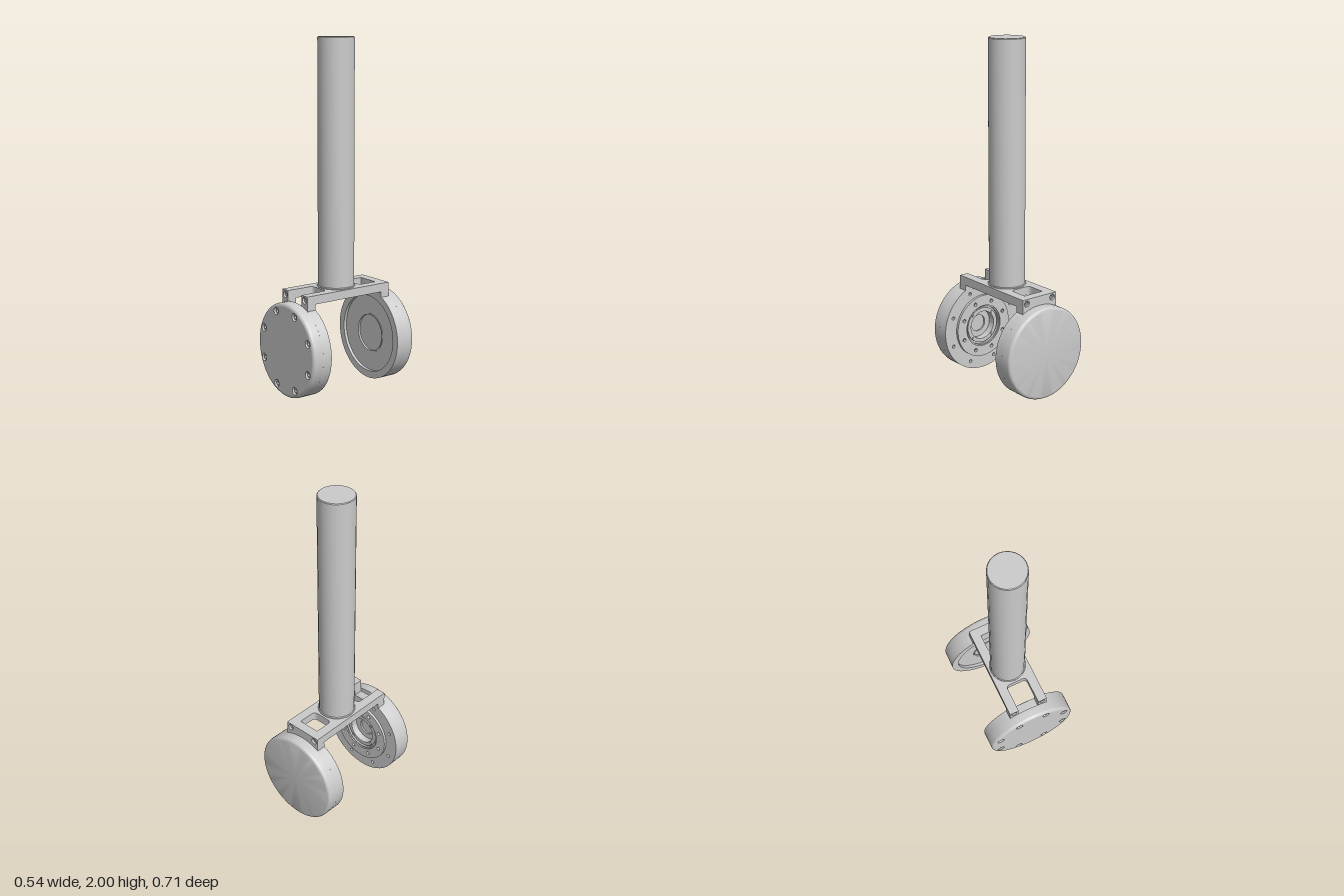
import * as THREE from 'three';
import { toCreasedNormals } from 'three/addons/utils/BufferGeometryUtils.js';

const material = new THREE.MeshStandardMaterial({ color: 0xcccccc });
const inside = new THREE.MeshStandardMaterial({ color: 0xcccccc, side: THREE.DoubleSide });

const R = 0.27;        // wheel radius
const CUT = 0.24;      // height of the flat cut above the wheel axis
const BOLT_R = 0.229;  // bolt circle radius

function add(parent, name, geometry, mat = material) {
  const mesh = new THREE.Mesh(geometry, mat);
  mesh.name = name;
  parent.add(mesh);
  return mesh;
}

// Solid of revolution about z; profile points are [radius, z]
function turned(points, segments = 56) {
  const g = new THREE.LatheGeometry(points.map(p => new THREE.Vector2(...p)), segments);
  return toCreasedNormals(g.rotateX(Math.PI / 2), 0.6);
}

// Flat shape extruded along z from z0 to z1
function plate(shape, z0, z1) {
  const g = new THREE.ExtrudeGeometry(shape, { depth: z1 - z0, bevelEnabled: false, curveSegments: 28 });
  return toCreasedNormals(g.translate(0, 0, z0), 0.6);
}

function circle(shape, r, x = 0, y = 0) {
  return shape.absarc(x, y, r, 0, Math.PI * 2, false);
}

function hole(shape, r, x = 0, y = 0) {
  shape.holes.push(circle(new THREE.Path(), r, x, y));
}

function ringPositions(count, radius) {
  return Array.from({ length: count }, (_, i) => {
    const a = (i + 0.5) * Math.PI * 2 / count;
    return [radius * Math.cos(a), radius * Math.sin(a)];
  });
}

// Recessed socket-head bolt facing +z: head, rim and socket in one profile
function bolt(parent, name, x, y, zFace, r) {
  const z = zFace - 0.006, floor = zFace - 0.016;
  const g = turned([
    [r * 0.72, floor - 0.006], [r * 0.72, z], [r * 0.4, z], [r * 0.4, floor], [0, floor],
  ], 16);
  add(parent, name, g).position.set(x, y, 0);
}

// Inner part of a wheel: a disc with a flat cut on top for the bracket
function cutDisc(recess, bolts) {
  const s = new THREE.Shape();
  const a = Math.asin(CUT / R);
  s.absarc(0, 0, R, Math.PI - a, Math.PI * 2 + a, false);
  s.closePath();
  hole(s, recess);
  if (bolts) ringPositions(8, BOLT_R).forEach(([x, y]) => hole(s, 0.01, x, y));
  return plate(s, 0.235, 0.291);
}

// Outer shell with a rounded edge; the face is left open if it is drilled
function shellProfile(closed) {
  const pts = [[0, 0.29], [R, 0.29]];
  for (let i = 0; i <= 5; i++) {
    const t = i / 5 * Math.PI / 2;
    pts.push([R - 0.018 + 0.018 * Math.cos(t), 0.337 + 0.018 * Math.sin(t)]);
  }
  if (closed) pts.push([0, 0.355]);
  return pts;
}

function frontWheel() {
  const wheel = new THREE.Group();
  wheel.name = 'frontWheel';
  add(wheel, 'wheelShell', turned(shellProfile(false)));
  add(wheel, 'wheelInnerDisc', cutDisc(0.17, true));

  // Drilled face with eight sunk bolts
  const face = circle(new THREE.Shape(), R - 0.018);
  ringPositions(8, BOLT_R).forEach(([x, y]) => {
    hole(face, 0.022, x, y);
    bolt(wheel, 'faceBolt', x, y, 0.353, 0.022);
  });
  add(wheel, 'wheelFace', plate(face, 0.335, 0.355));
  add(wheel, 'boltSeat', new THREE.RingGeometry(0.2, 0.252, 56).translate(0, 0, 0.336));

  // Hub flange with its ring of small holes
  const flange = circle(new THREE.Shape(), 0.19);
  hole(flange, 0.125);
  ringPositions(8, 0.155).forEach(([x, y]) => hole(flange, 0.011, x, y));
  add(wheel, 'hubFlange', plate(flange, 0.22, 0.24));

  // Stepped hub with an open bore
  add(wheel, 'hub', turned([
    [0, 0.285], [0.05, 0.285], [0.05, 0.275], [0.085, 0.275], [0.085, 0.232],
    [0.108, 0.232], [0.108, 0.242], [0.118, 0.242], [0.118, 0.228], [0.127, 0.228],
    [0.127, 0.25], [0.172, 0.25],
  ]), inside);
  // Small screws around the bore
  ringPositions(4, 0.097).forEach(([x, y]) => {
    const g = new THREE.CylinderGeometry(0.008, 0.008, 0.01, 12).rotateX(Math.PI / 2);
    add(wheel, 'hubScrew', g).position.set(x, y, 0.232);
  });
  return wheel;
}

function rearWheel() {
  const wheel = new THREE.Group();
  wheel.name = 'rearWheel';
  add(wheel, 'wheelShell', turned(shellProfile(true)));
  add(wheel, 'wheelInnerDisc', cutDisc(0.228, false));
  // Shallow floor with a round central recess
  add(wheel, 'wheelFloor', turned([
    [0, 0.262], [0.108, 0.262], [0.108, 0.25], [0.116, 0.25], [0.116, 0.253], [0.229, 0.253],
  ]), inside);
  wheel.rotation.y = Math.PI;
  return wheel;
}

// Rectangular end block with bolt holes, reaching down to the wheel's flat cut
function endBlock(parent, name, x0, x1, boltXs) {
  const group = new THREE.Group();
  group.name = name;
  const s = new THREE.Shape();
  s.moveTo(x0, 0.51).lineTo(x1, 0.51).lineTo(x1, 0.593).lineTo(x0, 0.593).closePath();
  boltXs.forEach(x => {
    hole(s, 0.018, x, 0.567);
    bolt(group, 'bracketBolt', x, 0.567, 0.286, 0.02);
  });
  add(group, 'block', plate(s, 0.235, 0.29));
  parent.add(group);
  return group;
}

function bracket() {
  const group = new THREE.Group();
  group.name = 'bracket';
  // H-shaped plate: a slot with rounded corners at each end
  const W = 0.12, L = 0.236, w = 0.065, d = 0.12, r = 0.025;
  const s = new THREE.Shape();
  s.moveTo(-W, -L);
  s.lineTo(-w, -L).lineTo(-w, -d - r).quadraticCurveTo(-w, -d, -w + r, -d);
  s.lineTo(w - r, -d).quadraticCurveTo(w, -d, w, -d - r).lineTo(w, -L);
  s.lineTo(W, -L).lineTo(W, L);
  s.lineTo(w, L).lineTo(w, d + r).quadraticCurveTo(w, d, w - r, d);
  s.lineTo(-w + r, d).quadraticCurveTo(-w, d, -w, d + r).lineTo(-w, L);
  s.lineTo(-W, L).closePath();
  add(group, 'bracketPlate', plate(s, 0.543, 0.593).rotateX(-Math.PI / 2));

  // Two separate lugs in front, one full-width block behind
  endBlock(group, 'leftLug', w, W, [0.092]);
  endBlock(group, 'rightLug', -W, -w, [-0.092]);
  endBlock(group, 'rearBlock', -W, W, [-0.092, 0.092]).rotation.y = Math.PI;
  return group;
}

export function createModel() {
  const model = new THREE.Group();
  model.name = 'twinWheelLeg';

  // Tall round post with a narrow collar and a fine top chamfer
  const post = turned([
    [0, 0.59], [0.109, 0.59], [0.109, 0.597], [0.104, 0.601],
    [0.104, 1.996], [0.1, 2], [0, 2],
  ], 24).rotateX(-Math.PI / 2);
  add(model, 'post', post);

  model.add(bracket());
  for (const wheel of [frontWheel(), rearWheel()]) {
    wheel.position.y = R;
    model.add(wheel);
  }
  return model;
}
